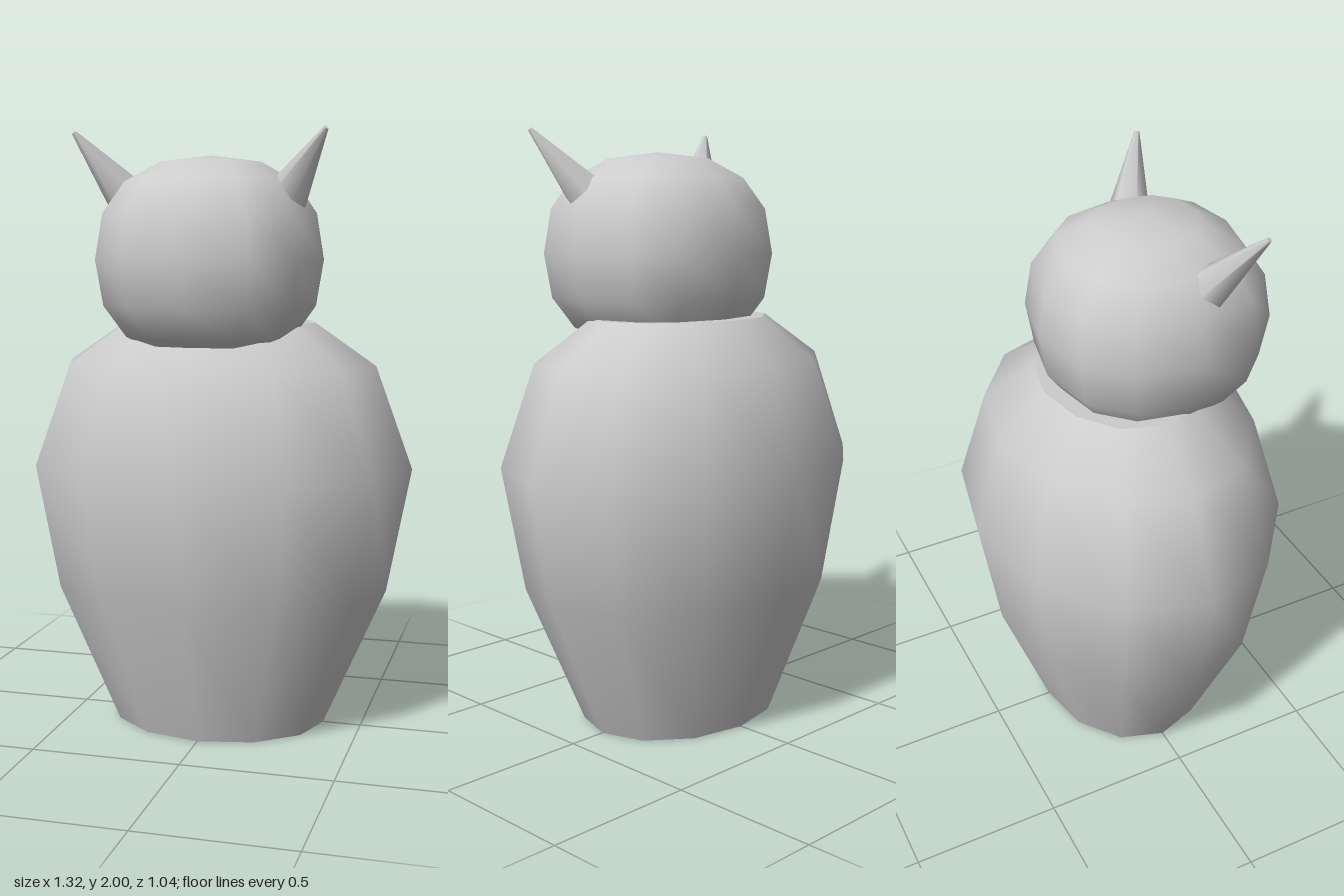
import * as THREE from 'three';
import { mergeVertices } from 'three/addons/utils/BufferGeometryUtils.js';

const grey = new THREE.MeshStandardMaterial({ name: 'plain grey', color: 0xcccccc });

function addPart(parent, name, geometry) {
  const mesh = new THREE.Mesh(geometry, grey);
  mesh.name = name;
  parent.add(mesh);
  return mesh;
}

// Oval twelve-sided body: a smooth lathe squeezed front to back, with flat caps
const DEPTH = 0.79;
function buildBody() {
  const body = new THREE.Group();
  body.name = 'body';
  const profile = [[0.37, 0], [0.58, 0.48], [0.66, 0.9], [0.535, 1.24], [0.33, 1.38]]
    .map(([r, y]) => new THREE.Vector2(r, y));
  addPart(body, 'torso', new THREE.LatheGeometry(profile, 12).scale(1, 1, DEPTH));

  const base = new THREE.CircleGeometry(0.37, 12).rotateX(Math.PI / 2);
  addPart(body, 'base', base.scale(1, 1, DEPTH));
  const shoulders = new THREE.CircleGeometry(0.33, 12).rotateX(-Math.PI / 2);
  addPart(body, 'shoulderTop', shoulders.scale(1, 1, DEPTH).translate(0, 1.38, 0));
  return body;
}

// Slightly boxy head: sphere rings pushed outward by a power rule
function buildHead() {
  const sphere = new THREE.SphereGeometry(1, 12, 8);
  const power = (v) => Math.sign(v) * Math.abs(v) ** 0.85;
  const p = sphere.attributes.position;
  for (let i = 0; i < p.count; i++) {
    // the power of a product is the product of powers, so each axis works alone
    p.setXYZ(i, power(p.getX(i)) * 0.375, power(p.getY(i)) * 0.335, power(p.getZ(i)) * 0.375);
  }
  sphere.deleteAttribute('normal');
  sphere.deleteAttribute('uv');
  const head = mergeVertices(sphere, 1e-4);
  head.computeVertexNormals();
  return head.translate(0, 1.59, 0.103);
}

// Six-sided tapering ear tuft, leaning outward and forward
function buildEar(side) {
  const foot = new THREE.Vector3(side * 0.27, 1.795, 0.175);
  const tip = new THREE.Vector3(side * 0.411, 1.994, 0.277);
  const axis = tip.clone().sub(foot);
  const length = axis.length();
  axis.normalize();
  const outward = new THREE.Vector3(side * axis.y, -Math.abs(axis.x), 0).normalize();
  const across = axis.clone().cross(outward);
  const ear = new THREE.CylinderGeometry(0.008, 0.07, length, 6).translate(0, length / 2, 0);
  return ear.applyMatrix4(new THREE.Matrix4().makeBasis(across, axis, outward).setPosition(foot));
}

export function createModel() {
  const model = new THREE.Group();
  model.name = 'owlFigure';
  model.add(buildBody());
  addPart(model, 'head', buildHead());
  addPart(model, 'leftEar', buildEar(1));
  addPart(model, 'rightEar', buildEar(-1));
  return model;
}
